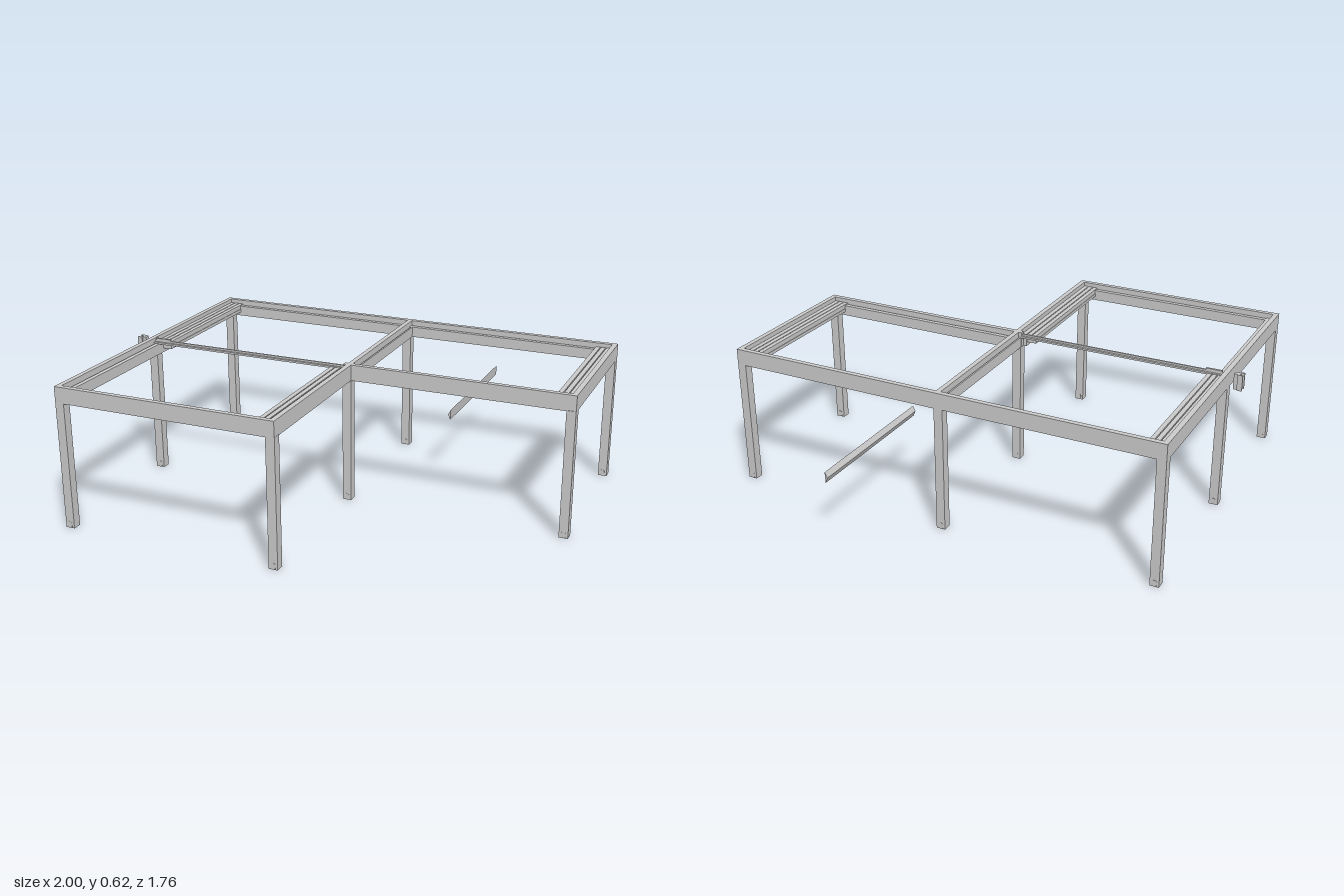
import * as THREE from 'three';

const TOP = 0.617, LOW = 0.548;
const mat = new THREE.MeshStandardMaterial({ color: 0xcccccc, flatShading: true });

// Box given by its limits on each axis
function box(parent, name, x0, x1, y0, y1, z0, z1) {
  const m = new THREE.Mesh(new THREE.BoxGeometry(x1 - x0, y1 - y0, z1 - z0), mat);
  m.position.set((x0 + x1) / 2, (y0 + y1) / 2, (z0 + z1) / 2);
  m.name = name;
  parent.add(m);
  return m;
}

function group(parent, name) {
  const g = new THREE.Group();
  g.name = name;
  parent.add(g);
  return g;
}

// Edge beam: tall outer wall with an open gutter on its inner side.
// axis is the running direction, outer the outside face, dir points inwards.
function edgeBeam(parent, name, axis, a, b, outer, dir) {
  const g = group(parent, name);
  const strip = (part, u0, u1, y0, y1, inset) => {
    const [p, q] = [outer + dir * u0, outer + dir * u1].sort((s, t) => s - t);
    if (axis === 'x') box(g, part, a + inset, b - inset, y0, y1, p, q);
    else box(g, part, p, q, y0, y1, a + inset, b - inset);
  };
  strip('outerWall', 0, 0.022, LOW, TOP, 0);
  strip('gutterFloor', 0.022, 0.049, LOW, LOW + 0.006, 0.02);
  strip('gutterLip', 0.029, 0.049, LOW + 0.006, 0.595, 0.02);
}

// Stack of retracted roof slats
function slatPack(parent, name, x0, x1, z0, z1) {
  const g = group(parent, name);
  box(g, 'packTray', x0, x1, 0.566, 0.58, z0, z1);
  const n = 3, step = (x1 - x0) / n;
  for (let i = 0; i < n; i++) {
    box(g, 'slat', x0 + i * step + 0.002, x0 + (i + 1) * step - 0.002, 0.58, 0.6, z0, z1);
  }
}

// Post with a small arched drain cover on its front and back foot
function post(parent, x0, z0) {
  const g = group(parent, 'post'), w = 0.039;
  box(g, 'postShaft', x0, x0 + w, 0, LOW + 0.004, z0, z0 + w);
  const arch = new THREE.Shape();
  arch.moveTo(-0.009, 0.003);
  arch.lineTo(0.009, 0.003);
  arch.lineTo(0.009, 0.02);
  arch.absarc(0, 0.02, 0.009, 0, Math.PI, false);
  const geo = new THREE.ExtrudeGeometry(arch, { depth: w + 0.002, bevelEnabled: false, curveSegments: 8 });
  const cover = new THREE.Mesh(geo, mat);
  cover.position.set(x0 + w / 2, 0, z0 - 0.001);
  cover.name = 'drainCover';
  g.add(cover);
}

export function createModel() {
  const model = new THREE.Group();
  model.name = 'pergola';
  const L = -0.94, M = 0.037, R = 0.998;
  const B = -0.564, C = 0.168, F = 0.88;

  // Posts
  const posts = group(model, 'posts');
  for (const x of [L, M - 0.038, R - 0.039]) {
    post(posts, x, B);
    post(posts, x, x === L ? C - 0.03 : C - 0.036);
  }
  for (const x of [L, M - 0.038]) post(posts, x, F - 0.039);

  // Outer frame
  const frame = group(model, 'frame');
  edgeBeam(frame, 'backBeam', 'x', L, R, B, 1);
  edgeBeam(frame, 'rearLeftSideBeam', 'z', B, C, R, -1);
  edgeBeam(frame, 'rearFrontBeam', 'x', 0.002, R, C, -1);
  edgeBeam(frame, 'rightSideBeam', 'z', B, F, L, 1);
  edgeBeam(frame, 'frontBeam', 'x', L, M, F, -1);
  edgeBeam(frame, 'frontLeftSideBeam', 'z', C - 0.02, F, M, -1);

  // Divider between the two rear bays, with a gutter on each side
  const divider = group(frame, 'dividerBeam');
  box(divider, 'dividerWall', 0.016, 0.037, LOW, TOP, B + 0.02, C - 0.02);
  box(divider, 'dividerFloor', 0.004, 0.05, LOW, LOW + 0.006, B + 0.02, C - 0.02);
  for (const x of [0.004, 0.043]) {
    box(divider, 'dividerLip', x, x + 0.007, LOW + 0.006, 0.595, B + 0.02, C - 0.02);
  }

  // Slim rail between the front and rear right bays
  const rail = group(frame, 'middleRail');
  box(rail, 'railPlate', L + 0.01, 0.002, 0.593, 0.601, 0.142, 0.172);
  box(rail, 'railRib', L + 0.01, 0.002, 0.601, 0.609, 0.153, 0.161);
  box(rail, 'railClip', -0.91, -0.84, 0.609, 0.616, 0.152, 0.162);

  // Retracted roof packs
  slatPack(model, 'rearRightRoofPack', -0.918, -0.85, B + 0.024, C - 0.028);
  slatPack(model, 'rearLeftRoofPack', 0.904, 0.974, B + 0.024, C - 0.024);
  slatPack(model, 'frontRoofPack', -0.056, 0.014, C + 0.006, F - 0.024);

  // Loose bracket beside the right middle post, a channel with a tongue
  const s = new THREE.Shape();
  [[-1, 0.14], [-0.978, 0.14], [-0.978, 0.147], [-0.961, 0.147], [-0.961, 0.168],
    [-0.978, 0.168], [-0.978, 0.175], [-1, 0.175], [-1, 0.168], [-0.986, 0.168],
    [-0.986, 0.147], [-1, 0.147]].forEach(([x, z], i) => (i ? s.lineTo(x, -z) : s.moveTo(x, -z)));
  const bracketGeo = new THREE.ExtrudeGeometry(s, { depth: TOP - LOW, bevelEnabled: false });
  bracketGeo.rotateX(-Math.PI / 2);
  const bracket = new THREE.Mesh(bracketGeo, mat);
  bracket.position.y = LOW;
  bracket.name = 'sideBracket';
  model.add(bracket);

  // Loose roof slat with a thin wedge section
  const wedge = new THREE.Shape();
  wedge.moveTo(0.343, 0.313);
  wedge.lineTo(0.353, 0.289);
  wedge.lineTo(0.355, 0.336);
  const slat = new THREE.Mesh(new THREE.ExtrudeGeometry(wedge, { depth: 0.676, bevelEnabled: false }), mat);
  slat.position.z = -0.88;
  slat.name = 'looseSlat';
  model.add(slat);

  return model;
}
